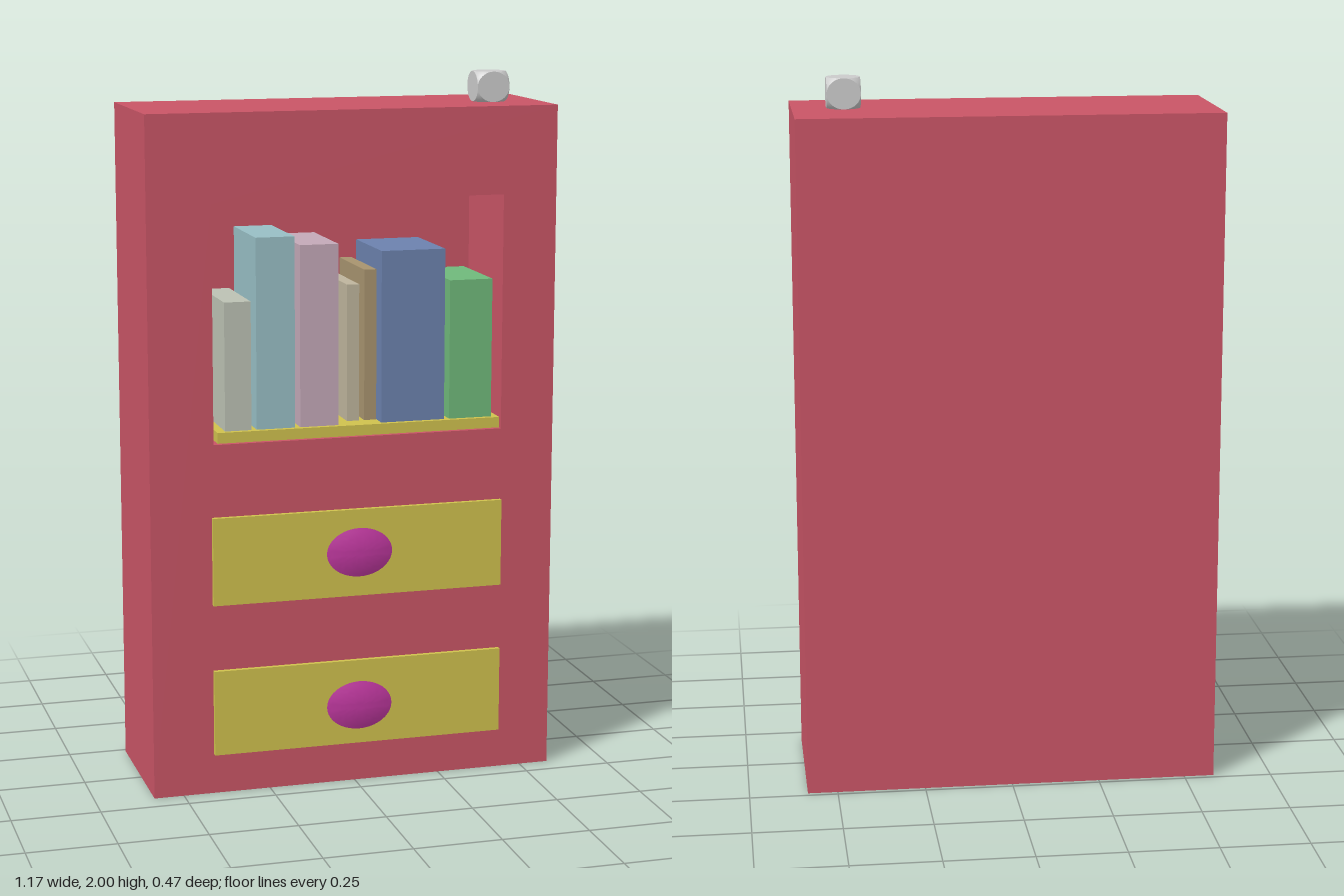
import * as THREE from 'three';
import { toCreasedNormals } from 'three/addons/utils/BufferGeometryUtils.js';

const mat = (color) => new THREE.MeshStandardMaterial({ color });

// Box given by its min and max on each axis
function block(name, [x0, x1], [y0, y1], [z0, z1], material) {
  const mesh = new THREE.Mesh(new THREE.BoxGeometry(x1 - x0, y1 - y0, z1 - z0), material);
  mesh.position.set((x0 + x1) / 2, (y0 + y1) / 2, (z0 + z1) / 2);
  mesh.name = name;
  return mesh;
}

function rectangle(Type, x0, x1, y0, y1) {
  return new Type([[x0, y0], [x1, y0], [x1, y1], [x0, y1]].map(([x, y]) => new THREE.Vector2(x, y)));
}

// Unit cube intersected with a sphere: round flat faces joined by spherical corners
function roundedDie() {
  const segments = 48, rings = 6, R = Math.SQRT2;
  const positions = [], indices = [];
  const turns = [[0, 0], [0, 1], [0, 2], [0, 3], [1, 0], [3, 0]];
  for (const [tx, ty] of turns) {
    const euler = new THREE.Euler(tx * Math.PI / 2, ty * Math.PI / 2, 0);
    const base = positions.length / 3;
    const add = (v) => positions.push(...v.applyEuler(euler).toArray());
    add(new THREE.Vector3(0, 0, 1));
    for (let k = 0; k <= rings; k++) {
      for (let i = 0; i < segments; i++) {
        const a = i / segments * Math.PI * 2, c = Math.cos(a), s = Math.sin(a);
        const m = Math.max(Math.abs(c), Math.abs(s));
        const edge = new THREE.Vector3(c / m, s / m, 1).setLength(R);
        add(new THREE.Vector3(c, s, 1).lerp(edge, k / rings).setLength(R));
      }
    }
    for (let i = 0; i < segments; i++) {
      const j = (i + 1) % segments;
      indices.push(base, base + 1 + i, base + 1 + j);
      for (let k = 0; k < rings; k++) {
        const p = base + 1 + k * segments, q = p + segments;
        indices.push(p + i, q + i, q + j, p + i, q + j, p + j);
      }
    }
  }
  const geo = new THREE.BufferGeometry();
  geo.setAttribute('position', new THREE.Float32BufferAttribute(positions, 3));
  geo.setIndex(indices);
  return toCreasedNormals(geo, 0.5);
}

export function createModel() {
  const model = new THREE.Group();
  model.name = 'bookcase';
  const red = mat(0xc95566), yellow = mat(0xd0c24e), magenta = mat(0xc038a0);
  const back = -0.235, recess = -0.115, front = 0.185;

  // Cabinet: front frame with the book opening, closed by a back slab
  const cabinet = new THREE.Group();
  cabinet.name = 'cabinet';
  const outline = rectangle(THREE.Shape, -0.585, 0.585, 0, 1.915);
  outline.holes.push(rectangle(THREE.Path, -0.405, 0.43, 1.005, 1.67));
  const frame = new THREE.Mesh(
    new THREE.ExtrudeGeometry(outline, { depth: front - recess, bevelEnabled: false }), red);
  frame.position.z = recess;
  frame.name = 'cabinetFrame';
  cabinet.add(frame, block('cabinetBack', [-0.585, 0.585], [0, 1.915], [back, recess], red));
  model.add(cabinet);

  // Shelf board and books
  model.add(block('shelf', [-0.39, 0.43], [1.005, 1.035], [recess, 0.17], yellow));
  const books = [
    [-0.365, -0.29, 1.035, 1.395, 0xbcc2b4],
    [-0.275, -0.165, 1.035, 1.57, 0x98bfc5],
    [-0.15, -0.04, 1.035, 1.545, 0xc4a9b8],
    [-0.015, 0.02, 1.045, 1.43, 0xbfb59d],
    [0.035, 0.07, 1.045, 1.47, 0xa8946f],
    [0.085, 0.27, 1.035, 1.52, 0x6c82ae],
    [0.285, 0.41, 1.035, 1.43, 0x70b97b],
  ];
  const bookRow = new THREE.Group();
  bookRow.name = 'books';
  books.forEach(([x0, x1, y0, y1, color], i) =>
    bookRow.add(block(`book${i + 1}`, [x0, x1], [y0, y1], [-0.1, 0.155], mat(color))));
  model.add(bookRow);

  // Drawers, each with a shallow oval domed knob held off the panel
  const dome = [];
  for (let i = 0; i <= 8; i++) {
    const r = 1 - i / 8;
    dome.push(new THREE.Vector2(r, 1 - r * r));
  }
  const knobGeo = toCreasedNormals(
    new THREE.LatheGeometry([new THREE.Vector2(0, 0), ...dome], 40).rotateX(Math.PI / 2).scale(0.095, 0.07, 0.013), 0.3);
  [[0.115, 0.36, 0.235], [0.55, 0.8, 0.682]].forEach(([y0, y1, knobY], i) => {
    const drawer = new THREE.Group();
    drawer.name = i ? 'upperDrawer' : 'lowerDrawer';
    const knob = new THREE.Mesh(knobGeo, magenta);
    knob.position.set(0.003, knobY, 0.222);
    knob.name = 'knob';
    drawer.add(block('drawerPanel', [-0.412, 0.43], [y0, y1], [front - 0.01, 0.199], yellow), knob);
    model.add(drawer);
  });

  // Small rounded die on the top
  const die = new THREE.Mesh(roundedDie(), mat(0xcccccc));
  die.scale.set(0.047, 0.0425, 0.046);
  die.position.set(0.442, 1.9575, 0.007);
  die.name = 'topOrnament';
  model.add(die);

  return model;
}
